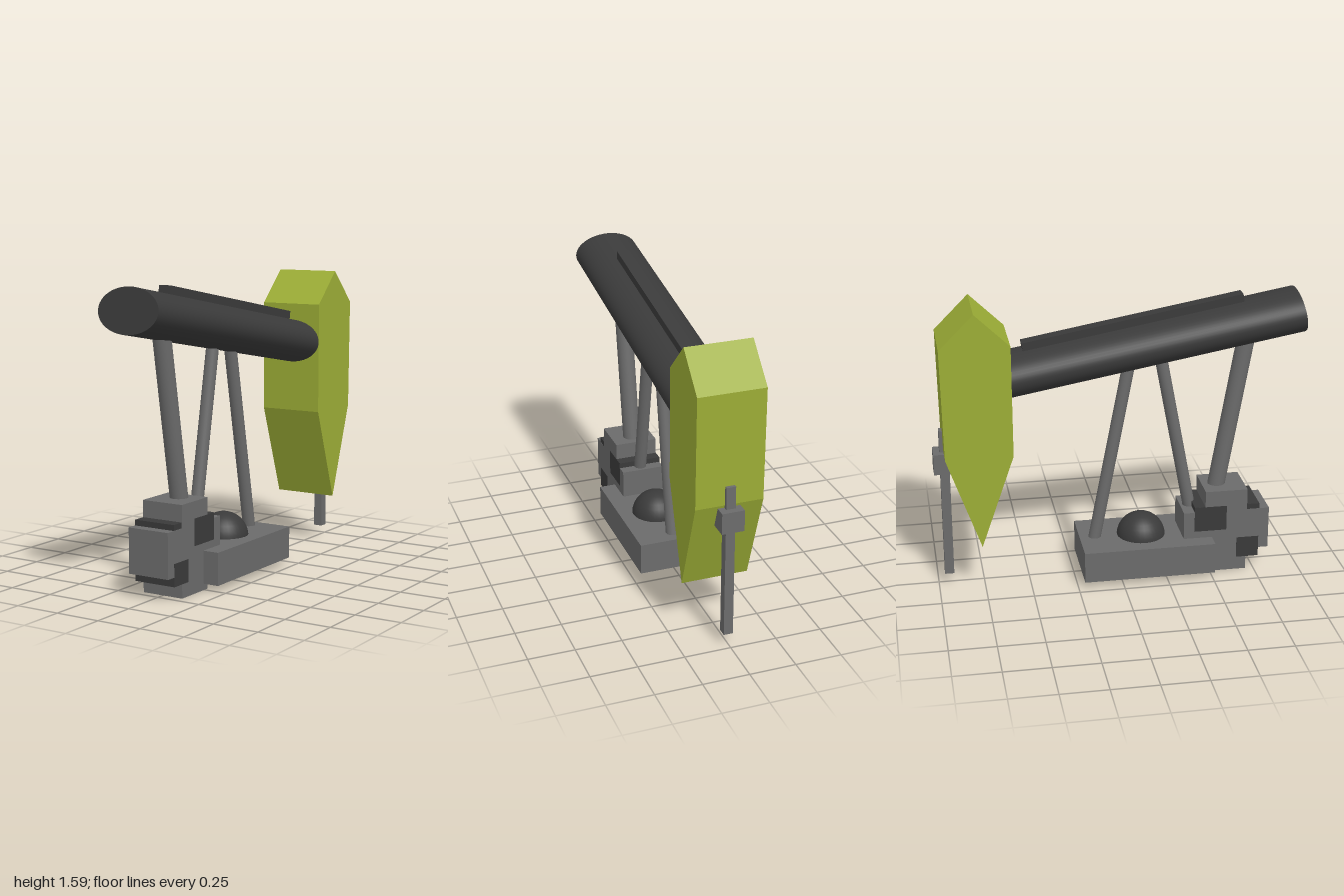
import * as THREE from 'three';

const paint = (color) => new THREE.MeshStandardMaterial({ color });

export function createModel() {
  const model = new THREE.Group();
  const steel = paint(0x6b6b6b);
  const dark = paint(0x3a3a3a);
  const green = paint(0x9cad36);

  const add = (name, geometry, material) => {
    const mesh = new THREE.Mesh(geometry, material);
    mesh.name = name;
    model.add(mesh);
    return mesh;
  };

  // Box centred on x = 0, given its half width and its y and z ranges
  const box = (name, halfX, [y0, y1], [z0, z1], material = steel) => {
    const mesh = add(name, new THREE.BoxGeometry(halfX * 2, y1 - y0, z1 - z0), material);
    mesh.position.set(0, (y0 + y1) / 2, (z0 + z1) / 2);
    return mesh;
  };

  // Round bar in the x = 0 plane between two [y, z] points
  const bar = (name, from, to, radius, material = steel, segments = 24) => {
    const a = new THREE.Vector3(0, ...from);
    const b = new THREE.Vector3(0, ...to);
    const mesh = add(name, new THREE.CylinderGeometry(radius, radius, a.distanceTo(b), segments), material);
    mesh.position.copy(a).lerp(b, 0.5);
    mesh.quaternion.setFromUnitVectors(new THREE.Vector3(0, 1, 0), b.sub(a).normalize());
    return mesh;
  };

  // Walking beam: flattened tube tilted ten degrees, with a rail on top
  const beam = bar('walkingBeam', [1.179, -0.7], [1.475, 0.98], 0.118, dark, 48);
  beam.scale.x = 0.18 / 0.118;
  const rail = add('beamRail', new THREE.BoxGeometry(0.07, 0.08, 1.2), dark);
  rail.position.set(0, 1.438, 0.083);
  rail.rotation.x = -THREE.MathUtils.degToRad(10);

  // Head: six-sided profile extruded across the width
  const profile = [
    [-0.77, 1.59], [-0.955, 1.405], [-0.945, 0.8],
    [-0.765, 0.285], [-0.585, 0.8], [-0.585, 1.41],
  ].map(([z, y]) => new THREE.Vector2(z, y));
  const headGeometry = new THREE.ExtrudeGeometry(new THREE.Shape(profile), { depth: 0.36, bevelEnabled: false });
  headGeometry.rotateY(-Math.PI / 2).translate(0.18, 0, 0);
  add('beamHead', headGeometry, green);

  // Supports between the beam and the base
  bar('pitmanArm', [0.42, 0.543], [1.37, 0.705], 0.048);
  bar('frontLeg', [0.3, 0.412], [1.3, 0.222], 0.034);
  bar('rearLeg', [0.18, -0.136], [1.27, 0.071], 0.034);

  // Base and rounded motor cover
  box('base', 0.21, [0.035, 0.21], [-0.215, 0.51]);
  const dome = add('motorDome', new THREE.SphereGeometry(0.135, 32, 16), dark);
  dome.position.set(0, 0.2, 0.13);

  // Counterweight: crossed blocks around a dark core
  box('counterweightUpright', 0.12, [0, 0.485], [0.47, 0.705]);
  box('counterweightCross', 0.12, [0.125, 0.365], [0.35, 0.83]);
  box('counterweightCore', 0.119, [0.075, 0.395], [0.41, 0.775], dark);
  box('counterweightLowerInset', 0.121, [0.075, 0.195], [0.65, 0.775], dark);
  box('counterweightUpperInset', 0.121, [0.25, 0.394], [0.41, 0.59], dark);

  // Hanging rod and its clamp
  box('polishedRod', 0.025, [0.06, 0.905], [-0.965, -0.915]);
  box('rodClamp', 0.06, [0.67, 0.785], [-1, -0.895]);

  return model;
}
